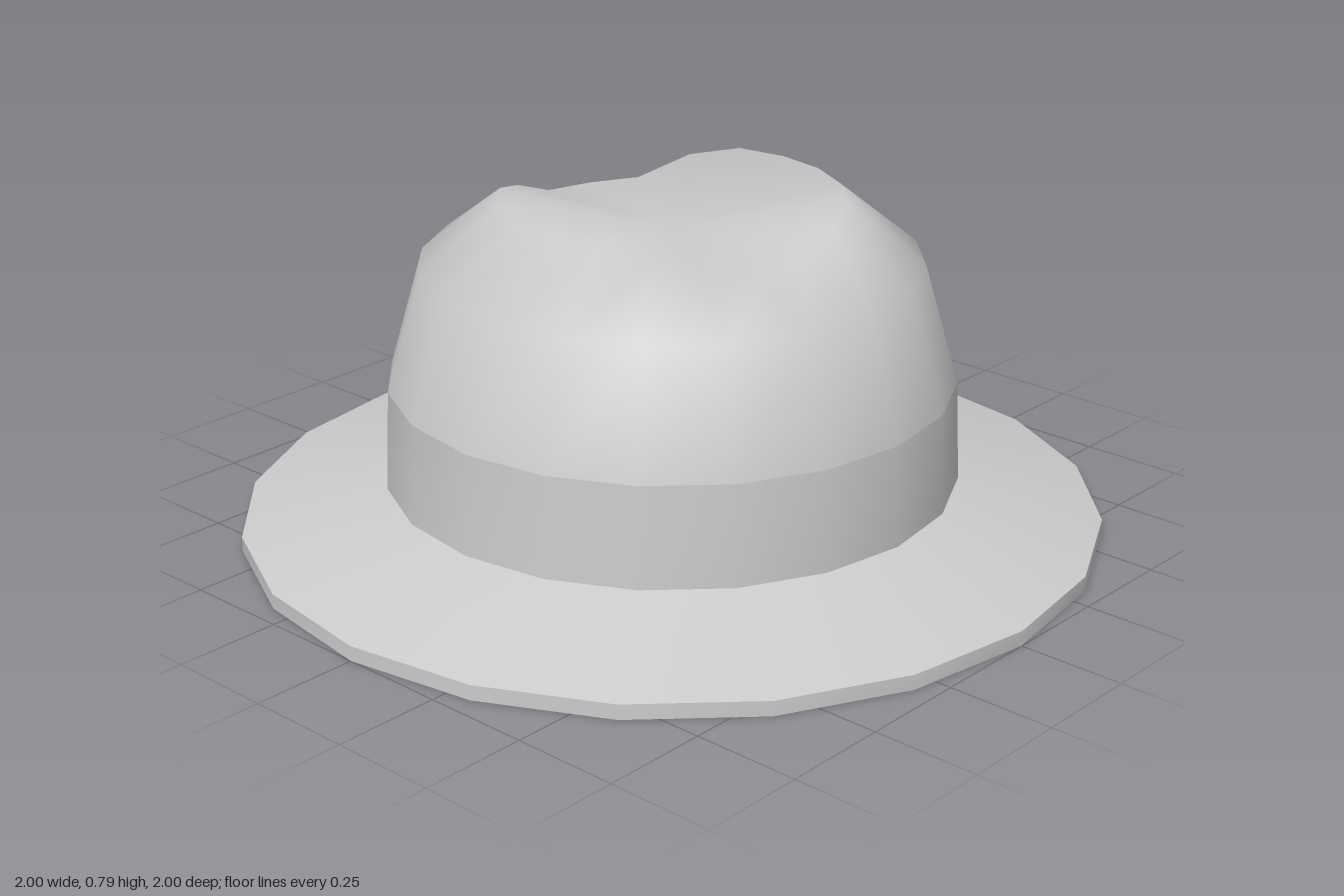
import * as THREE from 'three';
import { mergeVertices } from 'three/addons/utils/BufferGeometryUtils.js';

const SIDES = 20;
// How far each vertex of the crown's top ring is pinched down; repeats every half turn.
const PINCH = [0.075, 0.08, 0.08, 0.025, 0, 0, 0, 0, 0, 0.03];
const CENTRE_PINCH = 0.08;

// Low-poly turned surface with smooth normals; rings above pinchFrom get the pinch.
// The profile runs downwards; reversing the index turns the faces outwards.
function turned(name, profile, pinchFrom = Infinity) {
  const lathe = new THREE.LatheGeometry(profile.map(([r, y]) => new THREE.Vector2(r, y)), SIDES);
  lathe.deleteAttribute('uv');
  lathe.deleteAttribute('normal');
  lathe.index.array.reverse();
  const pos = lathe.attributes.position;
  for (let i = 0; i < pos.count; i++) {
    const x = pos.getX(i), y = pos.getY(i), z = pos.getZ(i);
    if (y < pinchFrom) continue;
    const k = Math.round((Math.atan2(z, x) / (2 * Math.PI)) * SIDES) + SIDES;
    const drop = Math.hypot(x, z) < 0.05 ? CENTRE_PINCH : PINCH[k % PINCH.length];
    pos.setY(i, y - drop);
  }
  const geometry = mergeVertices(lathe, 1e-4);
  geometry.computeVertexNormals();
  const material = new THREE.MeshStandardMaterial({ color: 0xcccccc, side: THREE.DoubleSide });
  const mesh = new THREE.Mesh(geometry, material);
  mesh.name = name;
  return mesh;
}

export function createModel() {
  const hat = new THREE.Group();
  hat.name = 'hat';
  hat.add(
    // Thin open crown with two diagonal pinches in its top
    turned('crown', [[0, 0.79], [0.39, 0.79], [0.575, 0.64], [0.655, 0.36]], 0.7),
    // Band around the foot of the crown
    turned('hatBand', [[0.655, 0.36], [0.665, 0.125]]),
    // Sloping brim: a ring with an upright outer edge and a hole for the head
    turned('brimTop', [[0.61, 0.14], [0.665, 0.125], [1, 0.035]]),
    turned('brimEdge', [[1, 0.035], [1, 0]]),
    turned('brimUnderside', [[1, 0], [0.61, 0.09]]),
    turned('brimInnerEdge', [[0.61, 0.09], [0.61, 0.14]]),
  );
  return hat;
}
